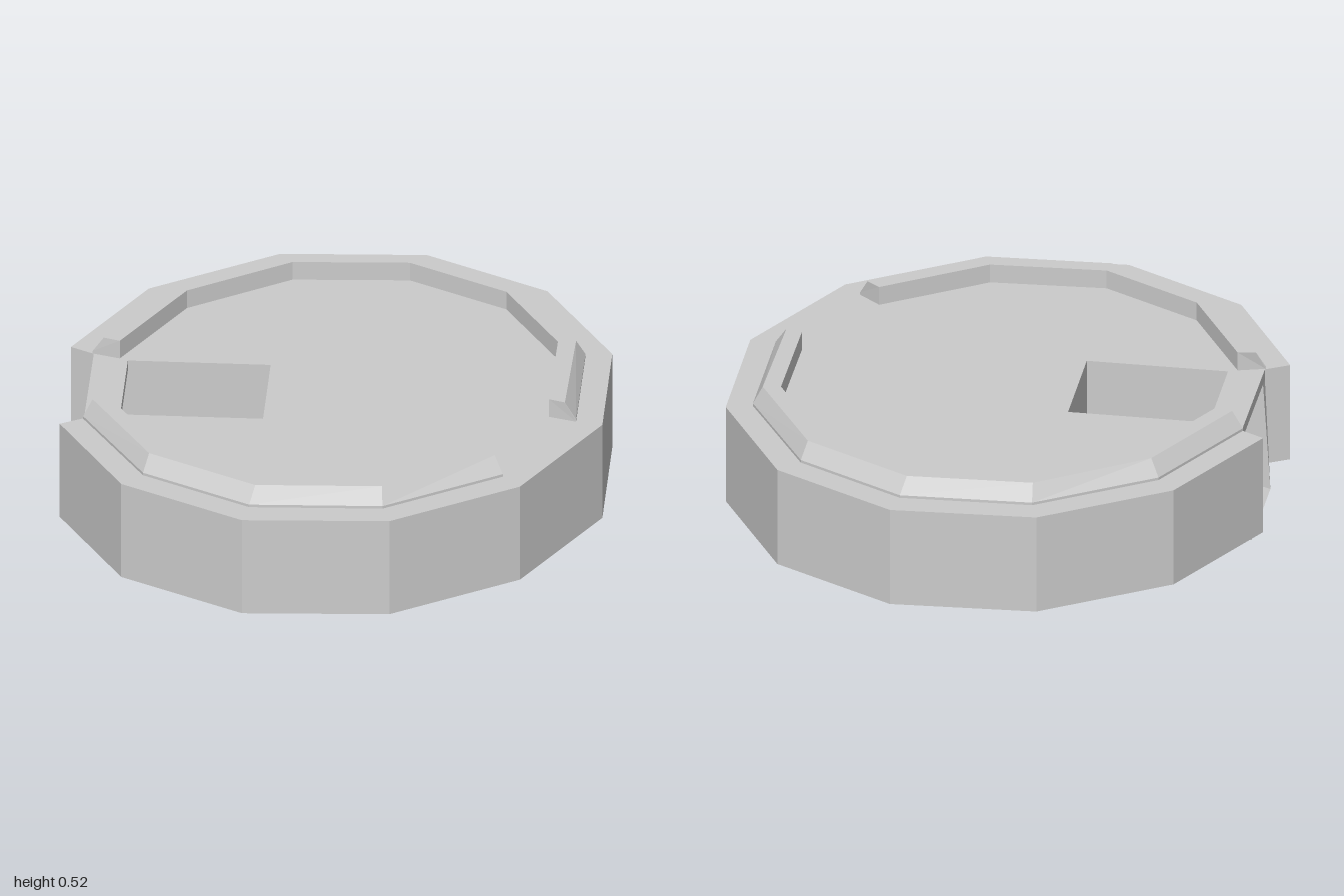
import * as THREE from 'three';
import { ConvexGeometry } from 'three/addons/geometries/ConvexGeometry.js';

const BOTTOM = 0.08, LINTEL = 0.41, DECK = 0.45, LIP = 0.46, TOP = 0.52;

// Twelve-sided outline mirrored from one quarter, as [x, z] pairs
function ring(quarter) {
  const q = quarter, back = [...q].reverse();
  return [
    ...q,
    ...back.map(([x, z]) => [x, -z]),
    ...q.map(([x, z]) => [-x, -z]),
    ...back.map(([x, z]) => [-x, z]),
  ];
}

// Plan position in the chute: t runs inward, s runs across the opening
const chute = (t, s) => [-0.66 + 0.88 * t - 0.19 * s, 0.64 - 0.48 * t - 0.35 * s];
const at = ([x, z], y) => new THREE.Vector3(x, y, z);
const toShape = (pts) => new THREE.Shape(pts.map(([x, z]) => new THREE.Vector2(x, -z)));

function slab(shape, y0, y1) {
  const g = new THREE.ExtrudeGeometry(shape, { depth: y1 - y0, bevelEnabled: false });
  g.rotateX(-Math.PI / 2);
  g.translate(0, y0, 0);
  return g;
}

// Triangles from a list of quads
function quads(list) {
  const pts = list.flatMap(([a, b, c, d]) => [a, b, c, a, c, d]);
  const g = new THREE.BufferGeometry().setFromPoints(pts);
  g.computeVertexNormals();
  return g;
}

// Bevelled rim swept along a run of corners, with closed ends
function rimGeometry(run) {
  const base = ring([[0.22, 0.905], [0.62, 0.665], [0.85, 0.24]]);
  const bevel = ring([[0.22, 0.865], [0.6, 0.635], [0.81, 0.23]]);
  const inner = ring([[0.2, 0.81], [0.55, 0.595], [0.75, 0.22]]);
  const sections = run.map((i) => [
    at(base[i], DECK), at(base[i], LIP), at(bevel[i], TOP), at(inner[i], TOP), at(inner[i], DECK),
  ]);
  const faces = [];
  for (let i = 0; i < sections.length - 1; i++) {
    const a = sections[i], b = sections[i + 1];
    for (let j = 0; j < 4; j++) faces.push([a[j], b[j], b[j + 1], a[j + 1]]);
  }
  const s = sections[0], e = sections[sections.length - 1];
  faces.push([s[0], s[1], s[2], s[3]], [s[0], s[3], s[4], s[4]]);
  faces.push([e[3], e[2], e[1], e[0]], [e[4], e[3], e[0], e[0]]);
  return quads(faces);
}

export function createModel() {
  const group = new THREE.Group();
  const solid = new THREE.MeshStandardMaterial({ color: 0xcccccc, flatShading: true });
  const thin = new THREE.MeshStandardMaterial({ color: 0xcccccc, flatShading: true, side: THREE.DoubleSide });
  const add = (name, geometry, material = solid) => {
    const mesh = new THREE.Mesh(geometry, material);
    mesh.name = name;
    group.add(mesh);
  };

  // Drum outline with one outer panel cut away at the chute mouth
  const outer = ring([[0.25, 1], [0.69, 0.73], [0.94, 0.27]]);
  const cornerB = [-0.845, 0.24], cornerA = [-0.62, 0.66];
  const start = [...outer.slice(0, 9), [-0.94, 0.24], cornerB];
  const end = [cornerA, [-0.67, 0.74], outer[11]];
  const mouth = 0.026;

  // Lower body with the chute channel open to the side
  const channel = [chute(mouth, 1), chute(0.65, 1), chute(0.65, 0), chute(mouth, 0)];
  add('body', slab(toShape([...start, ...channel, ...end]), BOTTOM, LINTEL));

  // Top deck with the chute hole
  const deck = toShape([...start, ...end]);
  const hole = [chute(0.15, 0), chute(0.65, 0), chute(0.65, 1), chute(0.15, 1)];
  deck.holes.push(new THREE.Path(hole.map(([x, z]) => new THREE.Vector2(x, -z))));
  add('deck', slab(deck, LINTEL, DECK));

  // Chute floor: flat inside, then sloping down to the mouth
  const row = (t, y) => [at(chute(t, 0), y), at(chute(t, 1), y)];
  const [a0, b0] = row(0, 0), [a1, b1] = row(0.3, BOTTOM), [a2, b2] = row(0.65, BOTTOM);
  add('chuteFloor', quads([[a0, a1, b1, b0], [a1, a2, b2, b1]]), thin);

  // Sloped underside on both sides of the ramp
  add('frontUnderside', new ConvexGeometry([
    a0, a1, at([0.21, 0.9], BOTTOM), at([-0.22, 0.9], BOTTOM),
    at(cornerA, BOTTOM), at(chute(mouth, 0), BOTTOM),
  ]));
  add('rearUnderside', new ConvexGeometry([
    b0, b1, at(cornerB, BOTTOM), at(chute(mouth, 1), BOTTOM),
  ]));

  // Slightly flared jambs beside the mouth
  [[a0, cornerA, 0], [b0, cornerB, 1]].forEach(([foot, corner, s]) => {
    const inside = chute(mouth, s);
    add('chuteJamb', new ConvexGeometry([
      foot, at(inside, BOTTOM), at(inside, LINTEL), at(corner, BOTTOM), at(corner, LINTEL),
    ]));
  });

  // Raised rim in two runs, open at the mouth and on the opposite side
  add('backRim', rimGeometry([3, 4, 5, 6, 7, 8, 9]));
  add('frontRim', rimGeometry([10, 11, 0, 1, 2]));

  return group;
}
